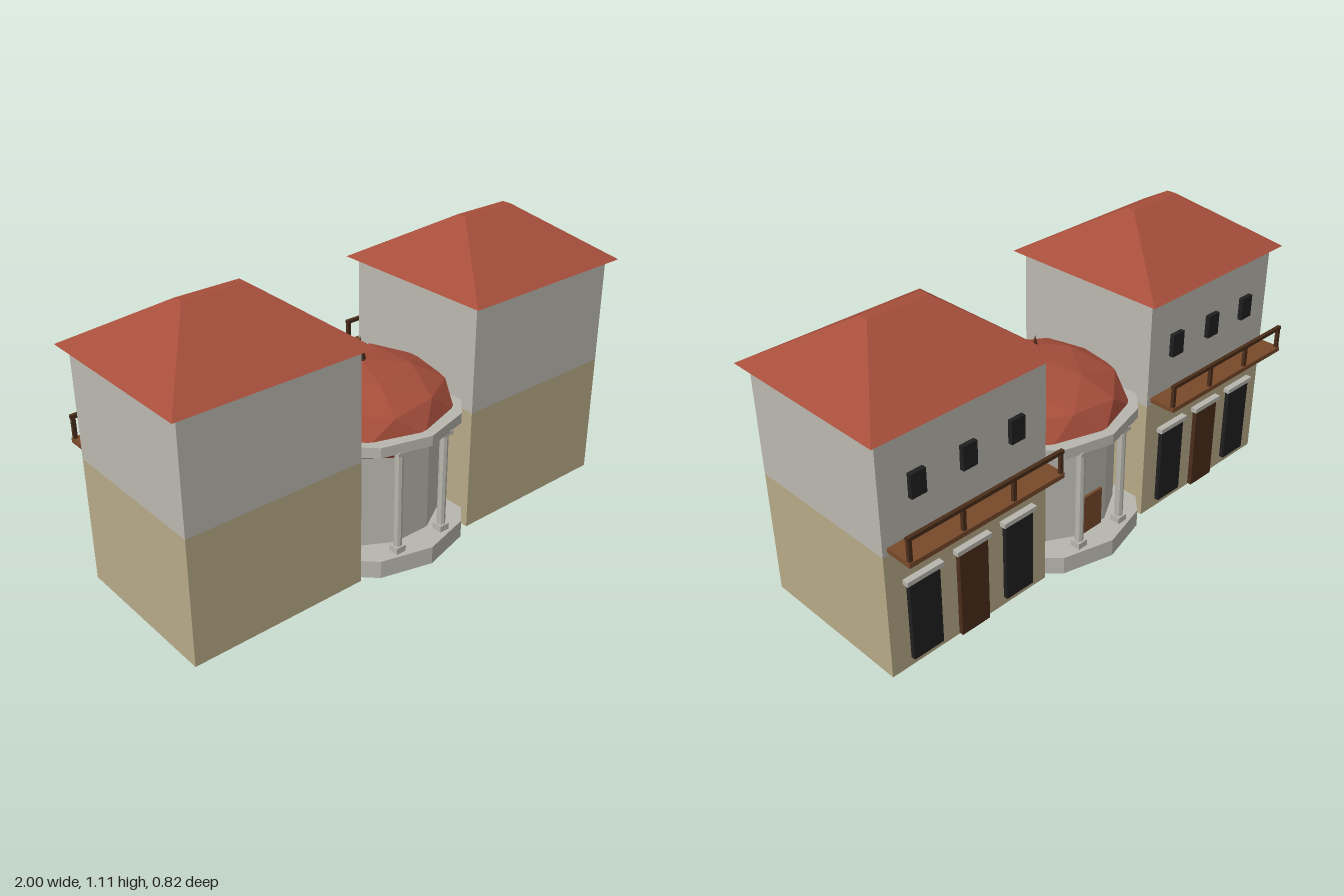
import * as THREE from 'three';

const mat = (name, color) => {
  const m = new THREE.MeshStandardMaterial({ color, flatShading: true });
  m.name = name;
  return m;
};

export function createModel() {
  const plaster = mat('upper plaster', 0xbcb8b0);
  const tan = mat('lower plaster', 0xb8aa88);
  const stone = mat('pale stone', 0xb8b6ae);
  const tile = mat('roof tile', 0xa64e3b);
  const wood = mat('wood', 0x77492a);
  const darkWood = mat('dark wood', 0x4a2d1a);
  const black = mat('dark shutter', 0x1f1f1f);

  const root = new THREE.Group();
  const add = (parent, name, geo, material, x = 0, y = 0, z = 0) => {
    const m = new THREE.Mesh(geo, material);
    m.name = name;
    m.position.set(x, y, z);
    parent.add(m);
    return m;
  };
  // Box given by its bottom centre
  const box = (parent, name, material, w, h, d, x, y, z) =>
    add(parent, name, new THREE.BoxGeometry(w, h, d), material, x, y + h / 2, z);

  const CZ = 0.01;      // shared depth centre
  const BACK = -0.305;  // rear wall plane

  // Hipped roof: a box whose top is drawn in to a narrow ridge
  const hipRoof = (w, d, h, ridgeW, ridgeD) => {
    const g = new THREE.BoxGeometry(w, h, d);
    const p = g.attributes.position;
    for (let i = 0; i < p.count; i++) {
      if (p.getY(i) > 0) {
        p.setX(i, Math.sign(p.getX(i)) * ridgeW / 2);
        p.setZ(i, Math.sign(p.getZ(i)) * ridgeD / 2);
      }
    }
    g.computeVertexNormals();
    return g;
  };

  const makeHouse = () => {
    const house = new THREE.Group();
    house.name = 'house';
    box(house, 'lowerStorey', tan, 0.7, 0.49, 0.63, 0, 0, CZ);
    box(house, 'upperStorey', plaster, 0.7, 0.425, 0.63, 0, 0.49, CZ);
    add(house, 'roof', hipRoof(0.765, 0.7, 0.195, 0.245, 0.04), tile, 0, 1.0125, CZ);

    // Rear openings
    for (const i of [-1, 0, 1]) {
      const x = i * 0.208;
      box(house, 'upperWindow', black, 0.06, 0.09, 0.03, x, 0.66, BACK - 0.003);
      if (i === 0) box(house, 'door', darkWood, 0.125, 0.345, 0.03, x, 0.005, BACK - 0.003);
      else box(house, 'lowerWindow', black, 0.125, 0.315, 0.03, x, 0.035, BACK - 0.003);
      box(house, 'lintel', stone, 0.15, 0.018, 0.05, x, 0.35, BACK);
    }

    // Balcony
    const balcony = new THREE.Group();
    balcony.name = 'balcony';
    box(balcony, 'balconyFloor', wood, 0.663, 0.018, 0.11, 0, 0.502, BACK - 0.052);
    for (let i = 0; i < 4; i++)
      box(balcony, 'balconyPost', darkWood, 0.014, 0.09, 0.013, -0.322 + i * 0.2147, 0.515, -0.402);
    box(balcony, 'balconyRail', darkWood, 0.663, 0.014, 0.014, 0, 0.597, -0.402);
    house.add(balcony);
    return house;
  };
  for (const side of [-1, 1]) {
    const house = makeHouse();
    house.name = side > 0 ? 'leftHouse' : 'rightHouse';
    house.position.x = side * 0.615;
    root.add(house);
  }

  // Round pavilion between the houses
  const pavilion = new THREE.Group();
  pavilion.name = 'pavilion';
  pavilion.position.z = CZ;
  root.add(pavilion);
  const cyl = (r, h, n) => new THREE.CylinderGeometry(r, r, h, n);
  add(pavilion, 'plinth', cyl(0.402, 0.07, 12), stone, 0, 0.035);
  add(pavilion, 'drum', cyl(0.3, 0.43, 12), stone, 0, 0.285).rotation.y = Math.PI / 12;
  box(pavilion, 'pavilionDoor', wood, 0.095, 0.23, 0.02, 0, 0, -0.29);

  // Open cornice ring
  const ring = [[0.33, 0.485], [0.385, 0.485], [0.385, 0.525], [0.33, 0.525], [0.33, 0.485]];
  add(pavilion, 'cornice', new THREE.LatheGeometry(ring.map(([x, y]) => new THREE.Vector2(x, y)), 12), stone);

  // Faceted dome, turned so a vertex points straight up
  const domeGeo = new THREE.IcosahedronGeometry(1, 1);
  domeGeo.rotateZ(-Math.atan(2 / (1 + Math.sqrt(5))));
  domeGeo.rotateY(Math.PI);
  domeGeo.scale(0.35, 0.167, 0.35);
  domeGeo.computeVertexNormals();
  add(pavilion, 'dome', domeGeo, tile, 0, 0.514);
  add(pavilion, 'spire', new THREE.ConeGeometry(0.024, 0.1, 6), darkWood, 0, 0.72);

  // Columns on the exposed front and back arcs
  for (const deg of [18, -18, 162, 198]) {
    const column = new THREE.Group();
    column.name = 'column';
    const a = THREE.MathUtils.degToRad(deg);
    column.position.set(0.35 * Math.sin(a), 0, 0.35 * Math.cos(a));
    box(column, 'columnBase', stone, 0.042, 0.025, 0.042, 0, 0.07, 0);
    add(column, 'columnShaft', cyl(0.016, 0.385, 8), stone, 0, 0.2825);
    box(column, 'columnCapital', stone, 0.045, 0.016, 0.045, 0, 0.472, 0);
    pavilion.add(column);
  }
  return root;
}
